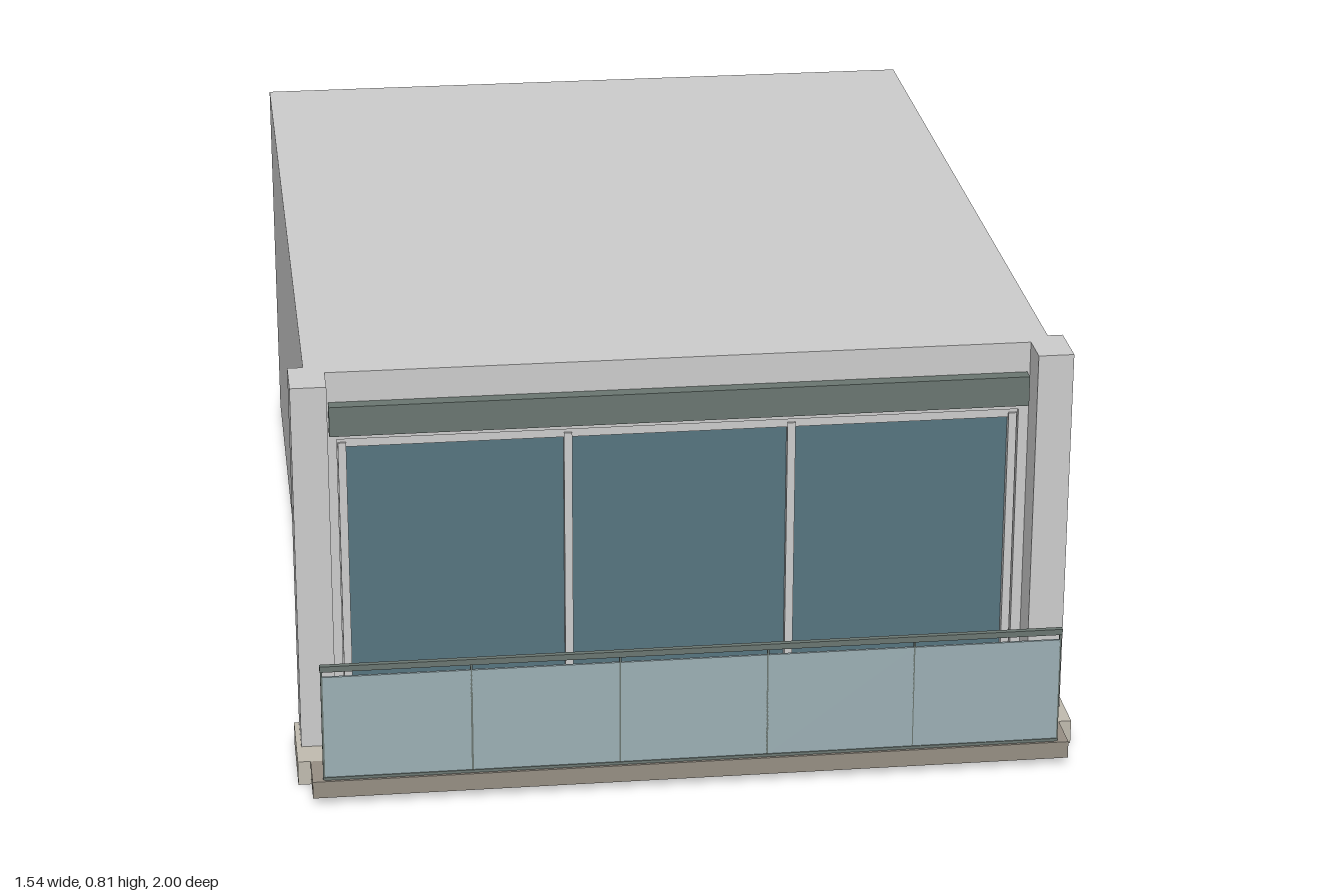
import * as THREE from 'three';

const mat = (color) => new THREE.MeshStandardMaterial({ color });

export function createModel() {
  const model = new THREE.Group();
  model.name = 'balconyRoom';

  const grey = mat(0xcccccc);
  const glass = mat(0x56747f);
  const railGlass = mat(0x9bafb4);
  const dark = mat(0x6a7671);
  const stone = mat(0xc0bbaf);
  const deckStone = mat(0x968e83);

  // Box given by its limits on each axis
  function box(name, material, [x0, x1], [y0, y1], [z0, z1], parent = model) {
    const mesh = new THREE.Mesh(new THREE.BoxGeometry(x1 - x0, y1 - y0, z1 - z0), material);
    mesh.position.set((x0 + x1) / 2, (y0 + y1) / 2, (z0 + z1) / 2);
    mesh.name = name;
    parent.add(mesh);
    return mesh;
  }

  // Room volume
  box('roomBody', grey, [-0.73, 0.73], [0.03, 0.81], [-1, 0.735]);

  // Front wall with the window opening
  const wall = new THREE.Shape();
  wall.moveTo(-0.73, 0.03).lineTo(0.73, 0.03).lineTo(0.73, 0.81).lineTo(-0.73, 0.81).closePath();
  const opening = new THREE.Path();
  opening.moveTo(-0.67, 0.05).lineTo(-0.67, 0.67).lineTo(0.67, 0.67).lineTo(0.67, 0.05).closePath();
  wall.holes.push(opening);
  const frontWall = new THREE.Mesh(
    new THREE.ExtrudeGeometry(wall, { depth: 0.035, bevelEnabled: false }), grey);
  frontWall.position.z = 0.735;
  frontWall.name = 'frontWall';
  model.add(frontWall);

  // Side pillars
  for (const side of [-1, 1]) {
    const pillar = box(side > 0 ? 'leftPillar' : 'rightPillar', grey,
      [-0.035, 0.035], [0.05, 0.81], [0.738, 0.845]);
    pillar.position.x = side * 0.725;
  }

  // Window: panes, mullions, top and bottom rails
  const windowGroup = new THREE.Group();
  windowGroup.name = 'window';
  model.add(windowGroup);
  const posts = [-0.66, -0.22, 0.22, 0.66];
  posts.forEach((x) =>
    box('windowPost', grey, [x - 0.008, x + 0.008], [0.06, 0.66], [0.736, 0.765], windowGroup));
  for (let i = 0; i < 3; i++) {
    box('windowPane', glass, [posts[i] + 0.008, posts[i + 1] - 0.008], [0.06, 0.65], [0.736, 0.75], windowGroup);
  }
  box('windowHead', grey, [-0.67, 0.67], [0.65, 0.67], [0.736, 0.76], windowGroup);
  box('windowSill', grey, [-0.67, 0.67], [0.05, 0.06], [0.736, 0.76], windowGroup);

  // Blind box above the window
  box('blindBox', dark, [-0.685, 0.685], [0.687, 0.748], [0.77, 0.797]);

  // Balcony floor
  box('balconySlab', stone, [-0.77, 0.77], [0, 0.05], [0.736, 0.91]);
  box('balconyEdge', deckStone, [-0.745, 0.745], [0.015, 0.05], [0.91, 1]);

  // Glass railing: five panels, thin posts and a handrail
  const railing = new THREE.Group();
  railing.name = 'railing';
  model.add(railing);
  const half = 0.722, step = (2 * half) / 5;
  for (let i = 0; i < 5; i++) {
    const x = -half + i * step;
    box('railingPanel', railGlass, [x + 0.001, x + step - 0.001], [0.055, 0.27], [0.988, 0.993], railing);
  }
  for (let i = 0; i <= 5; i++) {
    const x = -half + i * step;
    box('railingPost', dark, [x - 0.002, x + 0.002], [0.05, 0.283], [0.987, 0.993], railing);
  }
  box('railingFoot', dark, [-half, half], [0.05, 0.056], [0.986, 0.995], railing);
  box('handrail', dark, [-0.725, 0.725], [0.282, 0.294], [0.985, 0.996], railing);

  return model;
}
